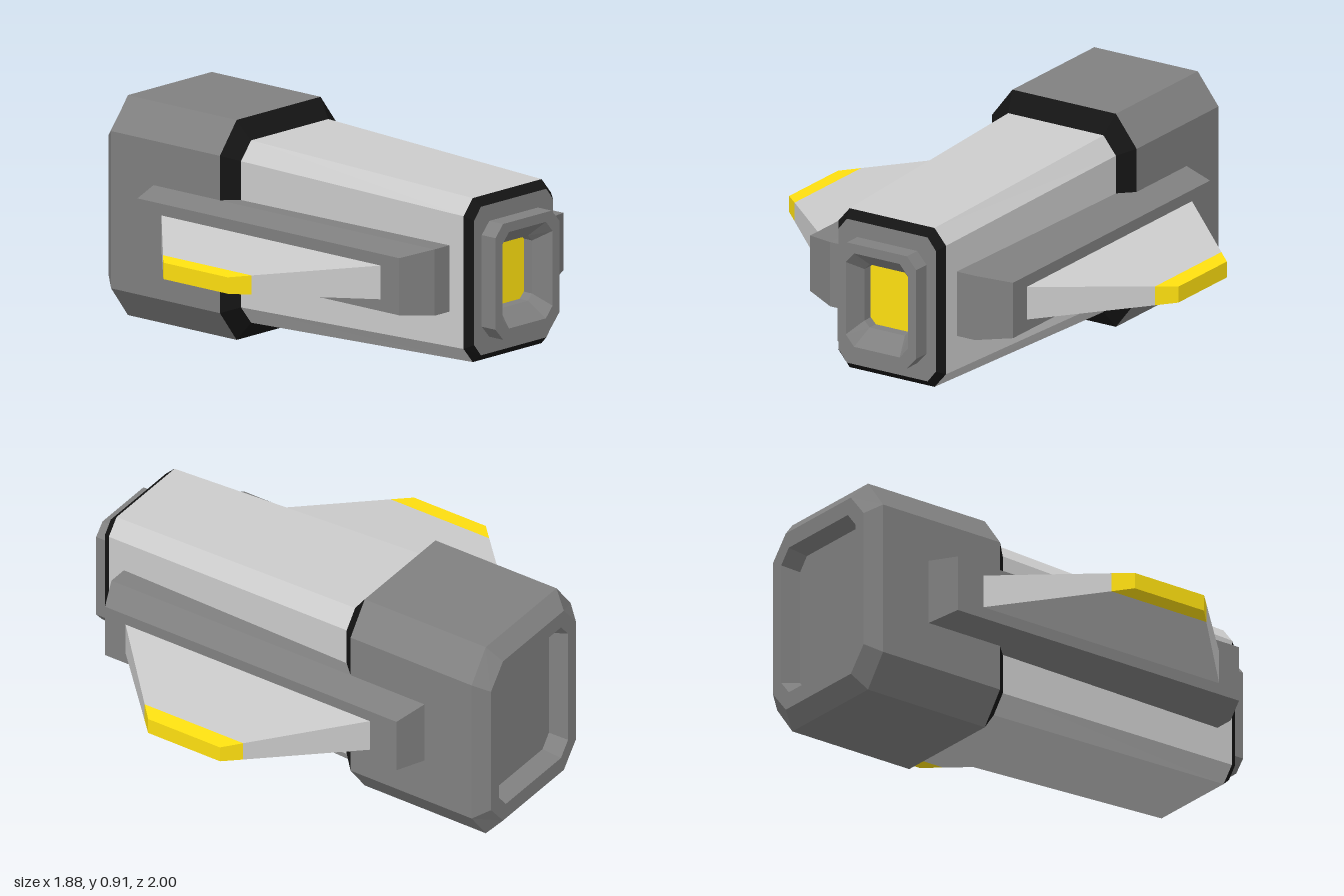
import * as THREE from 'three';

const CY = 0.456; // height of the long axis

const mat = (color) => new THREE.MeshStandardMaterial({ color, flatShading: true });

// Chamfered rectangle across z, counter-clockwise from the front
function oct(z, hw, hh, cx, cy) {
  const x = hw - cx, y = hh - cy;
  return [[hw, -y], [hw, y], [x, hh], [-x, hh], [-hw, y], [-hw, -y], [-x, -hh], [x, -hh]]
    .map(([px, py]) => [px, CY + py, z]);
}

// Rectangle across x on side s
function rect(s, x, y0, y1, z0, z1) {
  const ring = [[s * x, y0, z0], [s * x, y1, z0], [s * x, y1, z1], [s * x, y0, z1]];
  return s > 0 ? ring : ring.reverse();
}

// Faceted skin through a row of rings, with optional end caps
function loft(name, material, rings, capStart = true, capEnd = true) {
  const pos = [];
  const tri = (a, b, c) => pos.push(...a, ...b, ...c);
  const n = rings[0].length;
  for (let k = 0; k < rings.length - 1; k++) {
    const a = rings[k], b = rings[k + 1];
    for (let i = 0; i < n; i++) {
      const j = (i + 1) % n;
      tri(a[i], a[j], b[j]);
      tri(a[i], b[j], b[i]);
    }
  }
  const first = rings[0], last = rings[rings.length - 1];
  for (let i = 1; i < n - 1; i++) {
    if (capStart) tri(first[0], first[i + 1], first[i]);
    if (capEnd) tri(last[0], last[i], last[i + 1]);
  }
  const geo = new THREE.BufferGeometry();
  geo.setAttribute('position', new THREE.Float32BufferAttribute(pos, 3));
  geo.computeVertexNormals();
  const mesh = new THREE.Mesh(geo, material);
  mesh.name = name;
  return mesh;
}

export function createModel() {
  const model = new THREE.Group();
  model.name = 'spacecraft';
  const light = mat(0xcccccc), dark = mat(0x808080), black = mat(0x141414), yellow = mat(0xffe010);

  // Rear block with a recessed back
  const shoulder = oct(-0.35, 0.35, 0.456, 0.1, 0.13);
  const bodyRear = oct(-0.29, 0.29, 0.378, 0.06, 0.075);
  model.add(loft('engineBlock', dark, [
    oct(-0.92, 0.225, 0.3, 0.045, 0.055),
    oct(-1, 0.245, 0.32, 0.05, 0.06),
    oct(-1, 0.3, 0.39, 0.085, 0.1),
    oct(-0.94, 0.35, 0.456, 0.1, 0.13),
    shoulder,
  ], true, false));
  model.add(loft('engineCollar', black, [shoulder, bodyRear], false, true));

  // Tapered body and its front trim
  const bodyFront = oct(0.89, 0.26, 0.34, 0.055, 0.065);
  const trimFront = oct(0.925, 0.235, 0.308, 0.04, 0.05);
  model.add(loft('body', light, [bodyRear, bodyFront], false, false));
  model.add(loft('frontTrim', black, [bodyFront, trimFront], false, false));

  // Nose frame with a stepped opening
  const lensRing = oct(0.88, 0.11, 0.135, 0.025, 0.025);
  model.add(loft('noseFrame', dark, [
    trimFront,
    oct(0.925, 0.19, 0.24, 0.045, 0.05),
    oct(1, 0.19, 0.24, 0.045, 0.05),
    oct(1, 0.15, 0.2, 0.04, 0.045),
    oct(0.925, 0.11, 0.135, 0.025, 0.025),
    lensRing,
  ], false, false));
  model.add(loft('noseLens', yellow, [lensRing], false, true));

  // Side pods, wings and wing tips
  for (const [s, side] of [[1, 'left'], [-1, 'right']]) {
    model.add(loft(side + 'Pod', dark, [
      rect(s, 0.2, 0.323, 0.598, -0.71, 0.815),
      rect(s, 0.35, 0.323, 0.598, -0.71, 0.815),
      rect(s, 0.49, 0.34, 0.577, -0.67, 0.75),
    ]));
    const tipRoot = rect(s, 0.87, 0.419, 0.499, -0.185, 0.295);
    model.add(loft(side + 'Wing', light, [rect(s, 0.49, 0.389, 0.529, -0.54, 0.65), tipRoot], true, false));
    model.add(loft(side + 'WingTip', yellow, [tipRoot, rect(s, 0.94, 0.425, 0.493, -0.12, 0.23)], false, true));
  }
  return model;
}
